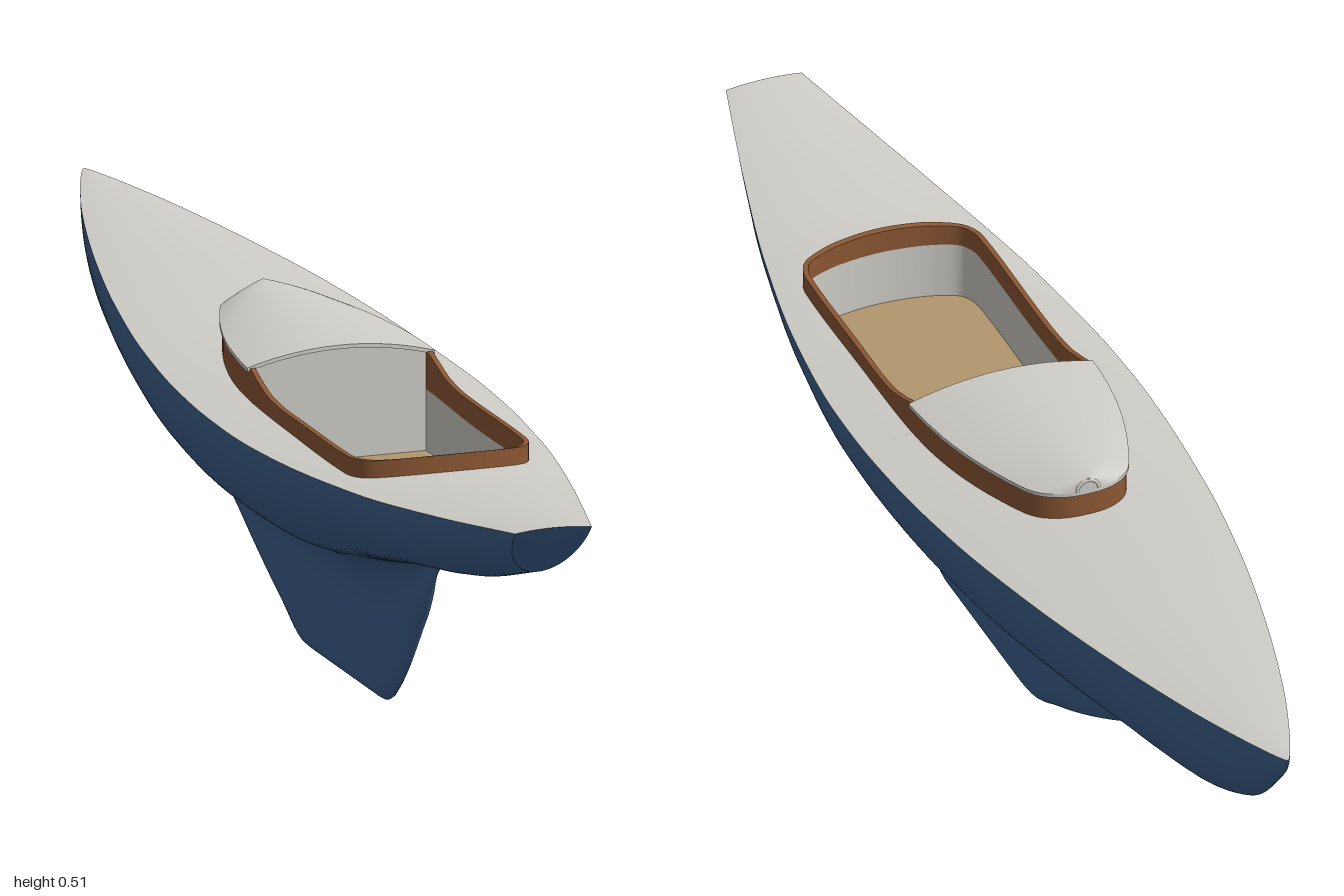
import * as THREE from 'three';

const mat = (name, color) => {
  const m = new THREE.MeshStandardMaterial({ color, side: THREE.DoubleSide });
  m.name = name;
  return m;
};
const clamp = THREE.MathUtils.clamp;
const V = (x, y, z) => new THREE.Vector3(x, y, z);

// Smooth monotone interpolation through [z, value] pairs
function table(p) {
  const n = p.length;
  const d = p.slice(1).map((q, i) => (q[1] - p[i][1]) / (q[0] - p[i][0]));
  const m = p.map((_, i) => {
    if (i === 0) return d[0];
    if (i === n - 1) return d[n - 2];
    const a = d[i - 1], b = d[i];
    return a * b <= 0 ? 0 : (2 * a * b) / (a + b);
  });
  return (z) => {
    z = clamp(z, p[0][0], p[n - 1][0]);
    let i = 0;
    while (i < n - 2 && z > p[i + 1][0]) i++;
    const h = p[i + 1][0] - p[i][0], t = (z - p[i][0]) / h, t2 = t * t, t3 = t2 * t;
    return (2 * t3 - 3 * t2 + 1) * p[i][1] + (t3 - 2 * t2 + t) * h * m[i]
      + (3 * t2 - 2 * t3) * p[i + 1][1] + (t3 - t2) * h * m[i + 1];
  };
}

// Surface through rows of points
function loft(rows) {
  const pos = [], idx = [], w = rows[0].length;
  rows.forEach((r) => r.forEach((v) => pos.push(v.x, v.y, v.z)));
  for (let i = 0; i < rows.length - 1; i++)
    for (let j = 0; j < w - 1; j++) {
      const a = i * w + j, b = a + w;
      idx.push(a, b, a + 1, b, b + 1, a + 1);
    }
  const g = new THREE.BufferGeometry();
  g.setAttribute('position', new THREE.Float32BufferAttribute(pos, 3));
  g.setIndex(idx);
  g.computeVertexNormals();
  return g;
}

// Hull lines: half beam, sheer, body bottom, keel bottom, roundness of keel edge
const beam = table([[-1, 0.002], [-0.98, 0.012], [-0.9, 0.043], [-0.8, 0.076], [-0.6, 0.129], [-0.4, 0.171],
  [-0.2, 0.201], [0, 0.218], [0.1, 0.221], [0.2, 0.219], [0.4, 0.2], [0.6, 0.164], [0.8, 0.115], [1, 0.06]]);
const sheer = table([[-1, 0.48], [-0.5, 0.445], [0, 0.412], [0.35, 0.402], [0.6, 0.406], [0.8, 0.418], [1, 0.436]]);
const bowBottom = [[-1, 0.468], [-0.985, 0.448], [-0.94, 0.4], [-0.877, 0.342], [-0.75, 0.29], [-0.556, 0.26]];
const sternBottom = [[0.54, 0.268], [0.7, 0.294], [0.8, 0.308], [0.9, 0.33], [1, 0.356]];
const body = table([...bowBottom, [-0.4, 0.237], [-0.2, 0.213], [0, 0.204], [0.2, 0.208], [0.4, 0.238], ...sternBottom]);
const keel = table([...bowBottom, [-0.49, 0.235], [-0.4, 0.175], [-0.13, 0.035], [-0.04, 0.001], [0, 0], [0.29, 0],
  [0.326, 0.02], [0.46, 0.18], [0.5, 0.24], ...sternBottom]);
const edge = table([[-0.5, 0.06], [-0.15, 0.05], [0, 0.02], [0.27, 0.02], [0.36, 0.07], [0.5, 0.06]]);
const camber = (z) => 0.015 * beam(z) / 0.22;

// One side of a hull section, from sheer to keel
function halfSection(z) {
  const b = beam(z), s = sheer(z), c = body(z), k = Math.min(keel(z), c);
  const w = clamp((c - k) / 0.09, 0, 1), tk = Math.min(0.016 * w, b);
  const pts = [], end = THREE.MathUtils.degToRad(90 - 20 * w);
  for (let i = 0; i <= 18; i++) {
    const a = end * i / 18;
    pts.push([b * Math.cos(a), s - (s - c) * Math.sin(a)]);
  }
  // Fillet into the keel wall
  const [px, py] = pts[18];
  const cy = Math.max(k, py - (px - tk) * (s - c) * Math.cos(end) / (b * Math.sin(end)));
  const room = cy - k, r = Math.min(edge(z), room * 0.6), ey = cy - Math.min(0.085, room - r);
  for (let i = 1; i <= 8; i++) {
    const t = i / 8, u = 1 - t;
    pts.push([u * u * px + (1 - u * u) * tk, u * u * py + 2 * u * t * cy + t * t * ey]);
  }
  // Wall and rounded bottom
  pts.push([tk, (ey + k + r) / 2]);
  for (let i = 0; i <= 7; i++) {
    const a = i / 7 * Math.PI / 2;
    pts.push([tk * Math.cos(a), k + r - r * Math.sin(a)]);
  }
  // Rake the transom
  const rake = 0.85 * clamp((z - 0.7) / 0.3, 0, 1);
  return pts.map(([x, y]) => V(x, y, z - rake * (s - y)));
}
const section = (z) => {
  const h = halfSection(z);
  return [...h, ...h.slice(0, -1).reverse().map((p) => V(-p.x, p.y, p.z))];
};

export function createModel() {
  const boat = new THREE.Group();
  boat.name = 'sailboatHull';
  const blue = mat('hull blue', 0x3d628f), white = mat('deck off-white', 0xcfcdc7);
  const wood = mat('coaming wood', 0x8b5733), tan = mat('floor tan', 0xb2976f);
  const add = (name, geo, m, parent = boat) => {
    const mesh = new THREE.Mesh(geo, m);
    mesh.name = name;
    parent.add(mesh);
    return mesh;
  };

  // Hull and transom
  const stations = Array.from({ length: 201 }, (_, i) => -Math.cos(Math.PI * i / 200));
  add('hull', loft(stations.map(section)), blue);
  const rim = section(1);
  for (let i = 0; i <= 8; i++) {
    const u = -1 + i / 4;
    rim.push(V(u * beam(1), sheer(1) + camber(1) * (1 - u * u), 1));
  }
  const hub = V(0, 0.41, 1 - 0.85 * (sheer(1) - 0.41));
  add('transom', loft([rim, rim.map(() => hub)]), blue);

  // Deck, two strips around the cockpit opening
  const hole = table([[0.09, 0.138], [0.48, 0.138], [0.515, 0.135], [0.54, 0.121], [0.557, 0.086], [0.566, 0.046], [0.569, 0]]);
  const opening = (z) => (z < 0.09 || z > 0.569 ? 0 : hole(z));
  const deckZ = [...stations, 0.0899, 0.09, 0.56, 0.564, 0.567, 0.569].sort((a, b) => a - b);
  const deck = new THREE.Group();
  deck.name = 'deck';
  boat.add(deck);
  for (const side of [-1, 1])
    add('deckSide', loft(deckZ.map((z) => {
      const b = beam(z), x0 = opening(z);
      return Array.from({ length: 9 }, (_, j) => {
        const x = x0 + (b - x0) * j / 8;
        return V(side * x, sheer(z) + camber(z) * (1 - (x / b) ** 2), z);
      });
    })), white, deck);

  // Outline shared by coaming, cabin and cockpit
  const half = [[0, -0.235], [0.03, -0.232], [0.056, -0.22], [0.074, -0.202], [0.088, -0.172], [0.115, -0.09],
    [0.134, 0], [0.142, 0.09], [0.142, 0.3], [0.142, 0.48], [0.139, 0.515], [0.125, 0.54], [0.09, 0.557], [0.05, 0.566], [0, 0.57]];
  const loop = [...half, ...half.slice(1, -1).reverse().map(([x, z]) => [-x, z])];
  const curve = new THREE.CatmullRomCurve3(loop.map(([x, z]) => V(x, 0, z)), true);
  const outline = curve.getSpacedPoints(240);
  const inner = outline.map((p, i) => {
    const t = curve.getTangentAt((i / 240) % 1);
    return V(p.x - t.z * 0.008, 0, p.z + t.x * 0.008);
  });
  const top = table([[-0.235, 0.482], [0.09, 0.467], [0.13, 0.455], [0.18, 0.442], [0.25, 0.437], [0.54, 0.437], [0.57, 0.443]]);
  const floorY = 0.315;
  const ring = (pts, y) => pts.map((p) => V(p.x, y(p.z), p.z));

  // Wooden coaming: outside, cap and inside
  const coaming = new THREE.Group();
  coaming.name = 'coaming';
  boat.add(coaming);
  const low = (z) => sheer(z) - 0.005;
  add('coamingOutside', loft([ring(outline, low), ring(outline, top)]), wood, coaming);
  add('coamingCap', loft([ring(outline, top), ring(inner, top)]), wood, coaming);
  add('coamingInside', loft([ring(inner, top), ring(inner, sheer)]), wood, coaming);

  // Cockpit lining, floor and cabin bulkhead
  add('cockpitLining', loft([ring(inner, sheer), ring(inner, () => floorY)]), white);
  const well = inner.filter((p) => p.z > 0.08);
  const floor = new THREE.ShapeGeometry(new THREE.Shape(well.map((p) => new THREE.Vector2(p.x, -p.z))));
  floor.rotateX(-Math.PI / 2).translate(0, floorY, 0);
  add('cockpitFloor', floor, tan);

  const roofEdge = (z) => 0.4675 + (0.09 - z) * 0.05;
  const roofRise = 0.0215;
  const wall = [new THREE.Vector2(-0.136, floorY), new THREE.Vector2(0.136, floorY)];
  for (let i = 0; i <= 16; i++) {
    const u = 1 - i / 8;
    wall.push(new THREE.Vector2(u * 0.142, roofEdge(0.09) - 0.004 + roofRise * (1 - u * u)));
  }
  add('cabinBulkhead', new THREE.ShapeGeometry(new THREE.Shape(wall)).translate(0, 0, 0.09), white);

  // Cambered cabin roof with a small lip
  const roofPts = outline.filter((p, i) => i < 120 && p.z < 0.09);
  roofPts.push(V(0.142, 0, 0.095));
  const roofRow = (p) => Array.from({ length: 21 }, (_, j) => {
    const u = j / 10 - 1;
    return V(u * p.x * 1.03, roofEdge(p.z) + roofRise * (1 - u * u), p.z - 0.004 * (p.z < 0));
  });
  const roof = new THREE.Group();
  roof.name = 'cabinRoof';
  boat.add(roof);
  const rows = roofPts.map(roofRow);
  add('roofTop', loft(rows), white, roof);
  for (const j of [0, 20])
    add('roofLip', loft(rows.map((r) => [r[j], r[j].clone().setY(r[j].y - 0.006)])), white, roof);
  const aft = rows[rows.length - 1];
  add('roofAftEdge', loft([aft, aft.map((v) => V(v.x, v.y - 0.006, v.z))]), white, roof);

  // Small arch at the front of the roof
  const arch = new THREE.TorusGeometry(0.017, 0.003, 8, 20, Math.PI);
  add('frontArch', arch.translate(0, roofEdge(-0.235), -0.237), white, roof);

  return boat;
}
